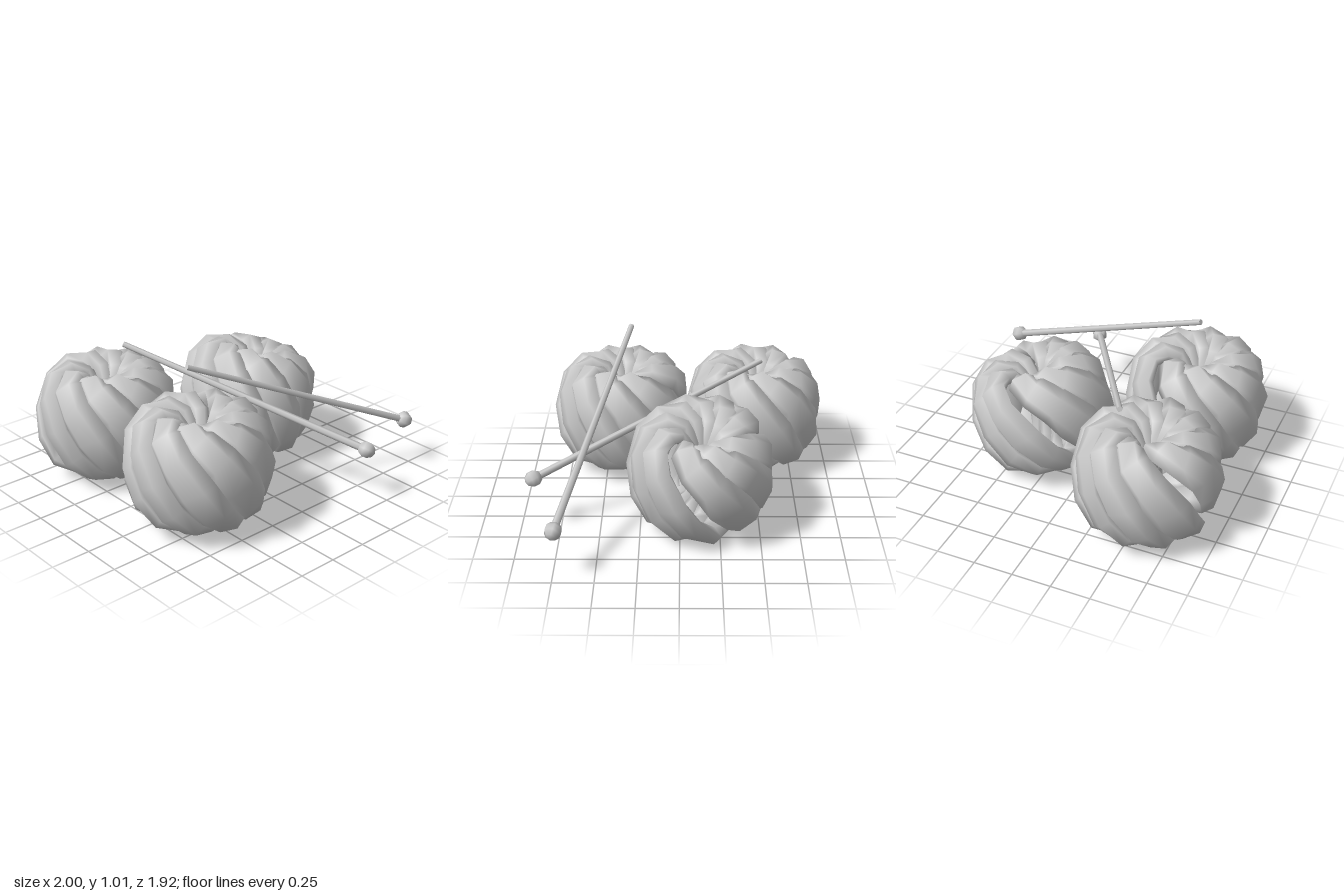
import * as THREE from 'three';

const STRANDS = 9, SEGMENTS = 12, SIDES = 6;
const SWIRL = THREE.MathUtils.degToRad(200);
const GAP = THREE.MathUtils.degToRad(16);
const yarn = new THREE.MeshStandardMaterial({ color: 0xcccccc, side: THREE.DoubleSide });
const needleMaterial = new THREE.MeshStandardMaterial({ color: 0xcccccc });

const softPow = (c) => Math.sign(c) * Math.abs(c) ** 0.85;

// Point on one wrap: v = 0 in the hole, PI / 2 on top, PI at the rim
function wrapPoint(v, start) {
  const c = Math.cos(v);
  const r = 0.225 - 0.172 * (c > 0 ? c : softPow(c));
  const y = 0.295 * softPow(Math.sin(v));
  const phi = start + SWIRL * (v / (2 * Math.PI) - 0.5);
  return new THREE.Vector3(r * Math.cos(phi), y, -r * Math.sin(phi));
}

// One flat, slightly tilted band of yarn wound through the hole and round the rim
function strandGeometry(start) {
  const pos = [], index = [];
  for (let i = 0; i <= SEGMENTS; i++) {
    const v = (i / SEGMENTS) * 2 * Math.PI, e = 0.08;
    const p = wrapPoint(v, start);
    const tangent = wrapPoint(v + e, start).sub(wrapPoint(v - e, start)).normalize();
    const around = new THREE.Vector3(p.z, 0, -p.x).normalize();
    const lean = tangent.dot(around);
    const slant = Math.sqrt(1 - lean * lean);
    const meridian = tangent.clone().addScaledVector(around, -lean);
    const normal = meridian.cross(around).normalize();
    const outward = new THREE.Vector3(p.x, 0, p.z).normalize().multiplyScalar(-Math.cos(v));
    outward.y = Math.sin(v);
    if (normal.dot(outward) < 0) normal.negate();
    const side = tangent.clone().cross(normal).normalize();
    // Bands crowd together on the top and bottom, and thin out in the hole
    const radius = Math.hypot(p.x, p.z);
    const cover = 0.57 + 0.12 * Math.sin(v) ** 2;
    const half = Math.max(0.045, cover * (2 * Math.PI * radius / STRANDS) * slant);
    const thick = Math.min(0.06, 0.025 + radius * 0.15);
    side.applyAxisAngle(tangent, 0.18);
    normal.applyAxisAngle(tangent, 0.18);
    for (let j = 0; j < SIDES; j++) {
      const a = (j / SIDES) * 2 * Math.PI;
      const q = p.clone().addScaledVector(side, half * Math.cos(a)).addScaledVector(normal, thick * Math.sin(a));
      pos.push(q.x, q.y, q.z);
      if (i < SEGMENTS) {
        const k = i * SIDES + j, n = i * SIDES + (j + 1) % SIDES;
        index.push(k, k + SIDES, n, n, k + SIDES, n + SIDES);
      }
    }
  }
  const g = new THREE.BufferGeometry();
  g.setAttribute('position', new THREE.Float32BufferAttribute(pos, 3));
  g.setIndex(index);
  g.computeVertexNormals();
  return g;
}

// Ball of wraps; neighbouring wraps part at the turn angle and, with two gaps, a third of the way on
function yarnBall(name, position, turn, gaps, tilt) {
  const ball = new THREE.Group();
  ball.name = name;
  const step = (2 * Math.PI - gaps * GAP) / STRANDS;
  for (let k = 0; k < STRANDS; k++) {
    const start = GAP / 2 + step * (k + 0.5) + (gaps > 1 && k >= 3 ? GAP : 0);
    const strand = new THREE.Mesh(strandGeometry(start), yarn);
    strand.name = 'yarnStrand';
    ball.add(strand);
  }
  ball.position.set(...position);
  ball.rotation.set(0, turn, tilt, 'ZYX');
  return ball;
}

// Tapered needle with a round stopper on its end
function needle(name, tip, end) {
  const a = new THREE.Vector3(...tip), b = new THREE.Vector3(...end);
  const length = a.distanceTo(b);
  const group = new THREE.Group();
  group.name = name;
  const shaft = new THREE.Mesh(new THREE.CylinderGeometry(0.018, 0.024, length, 6), needleMaterial);
  shaft.name = 'needleShaft';
  const knob = new THREE.Mesh(new THREE.SphereGeometry(0.056, 6, 5), needleMaterial);
  knob.name = 'needleKnob';
  knob.position.y = -length / 2;
  group.add(shaft, knob);
  group.position.copy(a).add(b).multiplyScalar(0.5);
  group.quaternion.setFromUnitVectors(new THREE.Vector3(0, 1, 0), a.sub(b).normalize());
  return group;
}

export function createModel() {
  const model = new THREE.Group();
  model.name = 'yarnAndNeedles';
  model.add(
    yarnBall('backYarnBall', [-0.545, 0.42, -0.5], 2.72, 1, 0),
    yarnBall('frontYarnBall', [-0.53, 0.42, 0.39], 1.5, 1, 0),
    yarnBall('tiltedYarnBall', [0.335, 0.42, -0.13], 0, 2, -0.24),
    needle('lowerNeedle', [-0.37, 0.84, -0.53], [0.39, 0.375, 0.905]),
    needle('upperNeedle', [-0.555, 1.01, 0.325], [0.945, 0.34, 0.73]),
  );
  return model;
}
